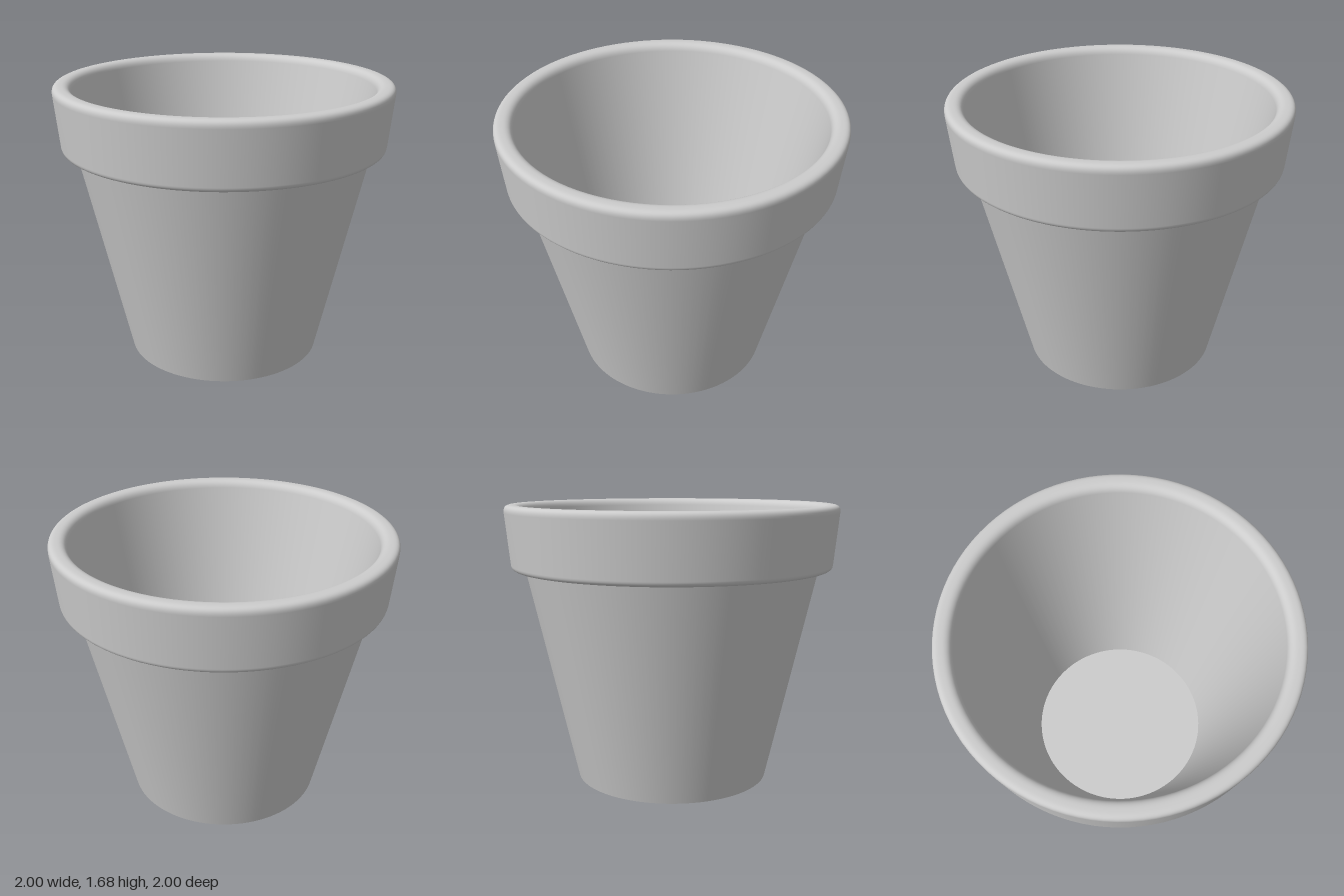
import * as THREE from 'three';

const SEGMENTS = 96;

// Replace the corner b of a-b-c by a smooth curve that starts and ends d away from it
function roundCorner(a, b, c, d, steps = 8) {
  const start = b.clone().add(a.clone().sub(b).setLength(d));
  const end = b.clone().add(c.clone().sub(b).setLength(d));
  return new THREE.QuadraticBezierCurve(start, b, end).getPoints(steps);
}

export function createModel() {
  const group = new THREE.Group();
  const clay = new THREE.MeshStandardMaterial({ color: 0xcccccc });
  const v = (x, y) => new THREE.Vector2(x, y);

  // Each part is one smooth stretch of the turned profile, so edges between parts stay sharp
  const turn = (name, points) => {
    const mesh = new THREE.Mesh(new THREE.LatheGeometry(points, SEGMENTS), clay);
    mesh.name = name;
    group.add(mesh);
  };

  const neck = v(0.885, 1.3);
  const rimBottom = v(0.965, 1.3);
  const rimOuter = v(1.003, 1.68);
  const rimInner = v(0.9, 1.68);
  const floorEdge = v(0.55, 0.13);

  turn('base', [v(0, 0), v(0.59, 0)]);
  turn('outerWall', [v(0.59, 0), neck]);

  // Collar with rounded lower, upper and inner edges, running down into the inner wall
  turn('rimAndInnerWall', [
    neck,
    ...roundCorner(neck, rimBottom, rimOuter, 0.03),
    ...roundCorner(rimBottom, rimOuter, rimInner, 0.045),
    ...roundCorner(rimOuter, rimInner, floorEdge, 0.045),
    floorEdge,
  ]);

  turn('innerFloor', [floorEdge, v(0, floorEdge.y)]);

  return group;
}
